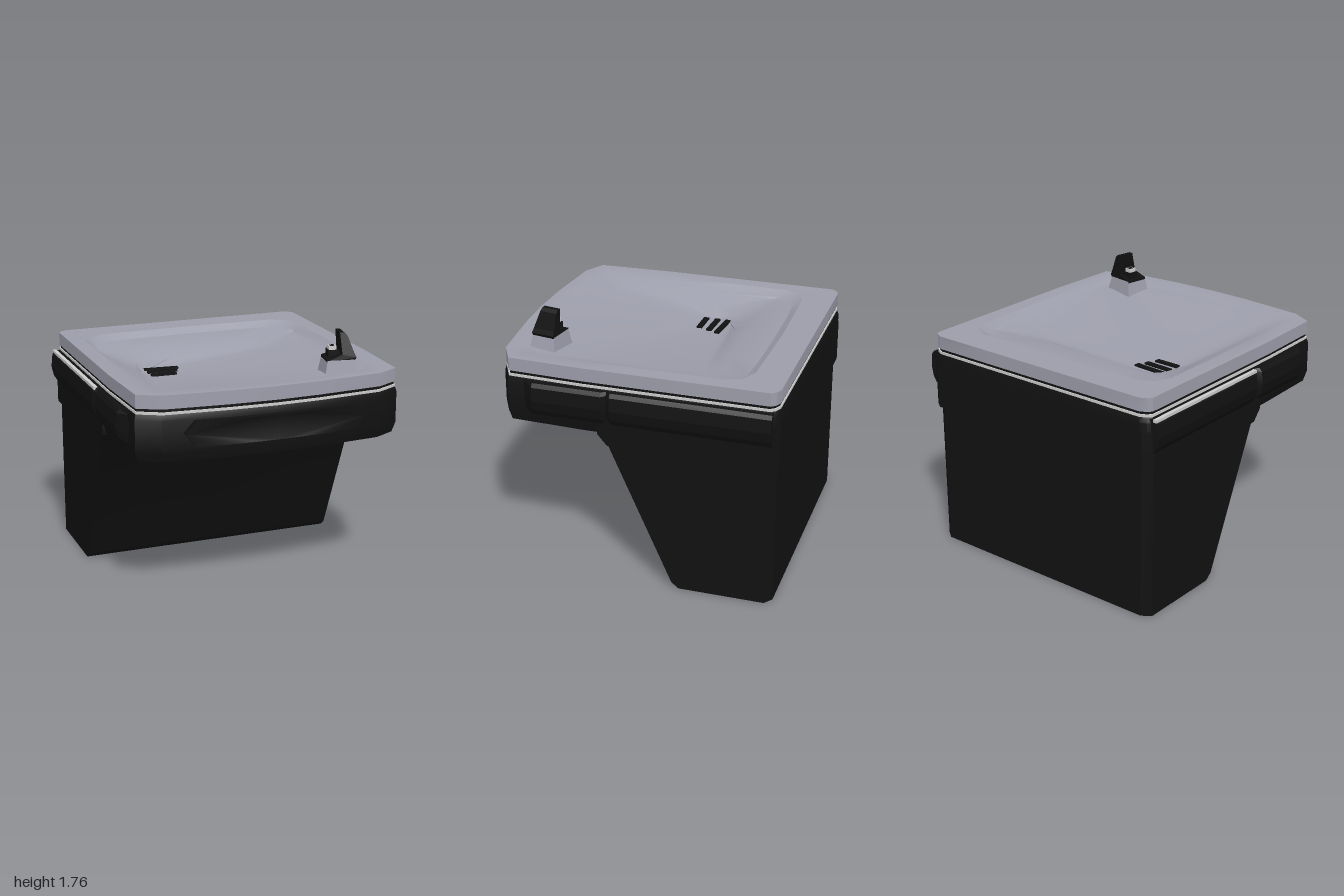
import * as THREE from 'three';
import { toCreasedNormals } from 'three/addons/utils/BufferGeometryUtils.js';

const mat = (color) => new THREE.MeshStandardMaterial({ color });
const steel = mat(0x9c9daa), black = mat(0x111111), pale = mat(0xcccccc);

// Half outlines [x, z], from back centre round the +x side to front centre
const RIM = [[0, -.99], [.4, -.99], [.85, -.99], [.895, -.97], [.92, -.94], [.92, -.3], [.92, .3], [.9, .81], [.75, .89], [.3, .93], [0, .94]];
const EDGE = [[0, -.79], [.4, -.78], [.65, -.775], [.76, -.72], [.81, -.62], [.81, -.2], [.81, .3], [.79, .74], [.7, .79], [.3, .84], [0, .85]];
const STEP = [[0, -.73], [.4, -.725], [.62, -.71], [.71, -.66], [.765, -.57], [.765, -.2], [.765, .3], [.76, .7], [.67, .75], [.3, .8], [0, .81]];
const LEDGE = [[0, -.5], [.3, -.52], [.55, -.545], [.68, -.56], [.75, -.55], [.73, -.2], [.74, .3], [.74, .67], [.65, .72], [.3, .76], [0, .77]];
const FLOOR = [[0, -.4], [.25, -.4], [.4, -.4], [.48, -.38], [.53, -.33], [.6, -.15], [.65, .25], [.66, .55], [.58, .62], [.28, .66], [0, .67]];

// Mirrors a half outline into a closed ring; height is a number or a rule
function ring(half, height, scale = 1) {
  const full = [...half, ...half.slice(1, -1).reverse().map(([x, z]) => [-x, z])];
  return full.map(([x, z]) => new THREE.Vector3(x * scale, typeof height === 'number' ? height : height(x, z), z * scale));
}

const point = (n, x, y, z) => Array.from({ length: n }, () => new THREE.Vector3(x, y, z));

// Skins a list of equal-length closed rings
function loft(rings, crease = 0.5) {
  const n = rings[0].length, index = [];
  for (let i = 0; i < rings.length - 1; i++) {
    for (let j = 0; j < n; j++) {
      const a = i * n + j, b = i * n + (j + 1) % n, c = a + n, d = b + n;
      index.push(a, c, b, b, c, d);
    }
  }
  const geo = new THREE.BufferGeometry().setFromPoints(rings.flat());
  geo.setIndex(index);
  return toCreasedNormals(geo, crease);
}

function add(parent, name, geometry, material, x = 0, y = 0, z = 0) {
  const mesh = new THREE.Mesh(geometry, material);
  mesh.name = name;
  mesh.position.set(x, y, z);
  parent.add(mesh);
  return mesh;
}

// Closed block with chamfered back corners; stations are [y, frontZ]
function block(w, back, stations) {
  const rings = stations.map(([y, f]) => ring([[0, back], [w - .06, back], [w, back + .045], [w, f], [0, f]], y));
  const n = rings[0].length, top = stations[stations.length - 1][0];
  return loft([point(n, 0, stations[0][0], -.6), ...rings, point(n, 0, top, -.4)], 0.3);
}

// Shallow basin with a raised back ledge, sloping to the drain
function basin() {
  const n = 20;
  const backToFront = (lo, hi) => (x, z) => THREE.MathUtils.lerp(lo, hi, THREE.MathUtils.smoothstep(z, -.6, .7));
  const drain = Array.from({ length: n }, (_, i) => {
    const t = i / n * Math.PI * 2;
    return new THREE.Vector3(-.37 + .16 * Math.sin(t), 1.36, -.2 - .13 * Math.cos(t));
  });
  return loft([
    ring(RIM, 1.43), ring(RIM, 1.52), ring(EDGE, 1.52),
    ring(STEP, backToFront(1.48, 1.505)),
    ring(LEDGE, backToFront(1.465, 1.5)),
    ring(FLOOR, (x, z) => 1.41 + .025 * x + .07 * (z + .4)),
    drain, point(n, -.37, 1.36, -.2),
  ], 0.45);
}

// Faceted side bar with a notch, tapering away at the front
function sideBar(s) {
  const profile = [[.9, 1.385], [.95, 1.385], [.97, 1.36], [.98, 1.27], [.965, 1.2], [.94, 1.16], [.9, 1.16]];
  if (s < 0) profile.reverse();
  const stations = [[-.96, 1], [.1, 1], [.13, .6], [.16, 1], [.63, 1], [.7, .2]];
  const rings = stations.map(([z, k]) => profile.map(([x, y]) => new THREE.Vector3(s * (.9 + (x - .9) * k), y, z)));
  return loft([point(7, s * .92, 1.27, -.96), ...rings, point(7, s * .9, 1.27, .7)], 0.3);
}

// Long six-sided push plate, bent to follow the bowed front
function pushPlate() {
  const pts = [[-.62, 1.27]];
  for (let i = 0; i <= 8; i++) pts.push([-.55 + i * .1375, 1.185]);
  pts.push([.62, 1.27]);
  for (let i = 8; i >= 0; i--) pts.push([-.55 + i * .1375, 1.35]);
  const shape = new THREE.Shape(pts.map(([x, y]) => new THREE.Vector2(x, y)));
  const geo = new THREE.ExtrudeGeometry(shape, { depth: .09, bevelEnabled: false });
  const p = geo.attributes.position;
  for (let i = 0; i < p.count; i++) p.setZ(i, p.getZ(i) + .908 - .045 * (p.getX(i) / .62) ** 2);
  return toCreasedNormals(geo, 0.5);
}

// Bubbler: tapered foot, black hood with upright guard, square button
function bubbler() {
  const g = new THREE.Group();
  g.name = 'bubbler';
  const foot = new THREE.BoxGeometry(.24, .13, .2);
  const p = foot.attributes.position;
  for (let i = 0; i < p.count; i++) {
    if (p.getY(i) > 0) {
      p.setX(i, p.getX(i) * .76 - .005);
      p.setZ(i, p.getZ(i) * .8);
    }
  }
  foot.computeVertexNormals();
  add(g, 'bubblerFoot', foot, steel, 0, 1.52, 0);

  const side = [[-.1, 1.575], [.085, 1.575], [.1, 1.6], [.085, 1.63], [.045, 1.74], [.025, 1.76], [-.005, 1.76], [.005, 1.62], [-.1, 1.59]];
  const hood = new THREE.ExtrudeGeometry(new THREE.Shape(side.map(([x, y]) => new THREE.Vector2(x, y))), { depth: .16, bevelEnabled: false });
  const q = hood.attributes.position;
  for (let i = 0; i < q.count; i++) {
    const k = THREE.MathUtils.clamp((q.getY(i) - 1.6) / .16, 0, 1);
    q.setZ(i, (q.getZ(i) - .08) * (1 - .28 * k) - .02 * k);
  }
  hood.computeVertexNormals();
  add(g, 'bubblerHood', hood, black);
  add(g, 'buttonBase', new THREE.BoxGeometry(.075, .05, .075), black, -.04, 1.615, -.015);
  add(g, 'button', new THREE.BoxGeometry(.05, .05, .055), pale, -.045, 1.64, -.015);
  add(g, 'buttonInset', new THREE.BoxGeometry(.03, .01, .035), black, -.045, 1.662, -.015);
  g.position.set(.56, 0, .65);
  g.rotation.y = -.17;
  return g;
}

export function createModel() {
  const model = new THREE.Group();
  model.name = 'drinkingFountain';

  // Basin and the thin bands beneath it
  add(model, 'basin', basin(), steel);
  const band = (y0, y1, s) => loft([ring(EDGE, y0), ring(RIM, y0, s), ring(RIM, y1, s), ring(EDGE, y1)]);
  add(model, 'shadowBand', band(1.41, 1.432, .992), black);
  add(model, 'trimBand', band(1.392, 1.41, 1), pale);

  // Overhanging housing
  add(model, 'housing', loft([
    point(20, 0, 1.08, 0), ring(RIM, 1.08, .99), ring(RIM, 1.15, 1.01),
    ring(RIM, 1.36, 1.01), ring(RIM, 1.393, 1), ring(EDGE, 1.393),
  ]), black);

  // Wall cabinet with sloping front, and the skirt round its top
  add(model, 'cabinet', block(.92, -.98, [[0, -.35], [.04, -.3], [1, .13], [1.08, .2], [1.3, .2]]), black);
  add(model, 'skirt', block(.94, -1, [[1.005, .13], [1.08, .195], [1.16, .2], [1.3, .18]]), black);

  // Push bars and front plate
  add(model, 'leftSideBar', sideBar(1), black);
  add(model, 'rightSideBar', sideBar(-1), black);
  add(model, 'rightSideTrim', new THREE.BoxGeometry(.026, .02, 1.07), pale, -.953, 1.381, -.43);
  add(model, 'frontPushPlate', pushPlate(), black);

  // Drain slots
  [[.24, -.27], [.21, -.2], [.18, -.12]].forEach(([len, z], i) => {
    const slot = add(model, 'drainSlot' + (i + 1), new THREE.BoxGeometry(len, .02, .038), black, -.49 + len / 2, 1.362, z);
    slot.rotation.y = -.08 + i * .03;
  });

  model.add(bubbler());
  return model;
}
